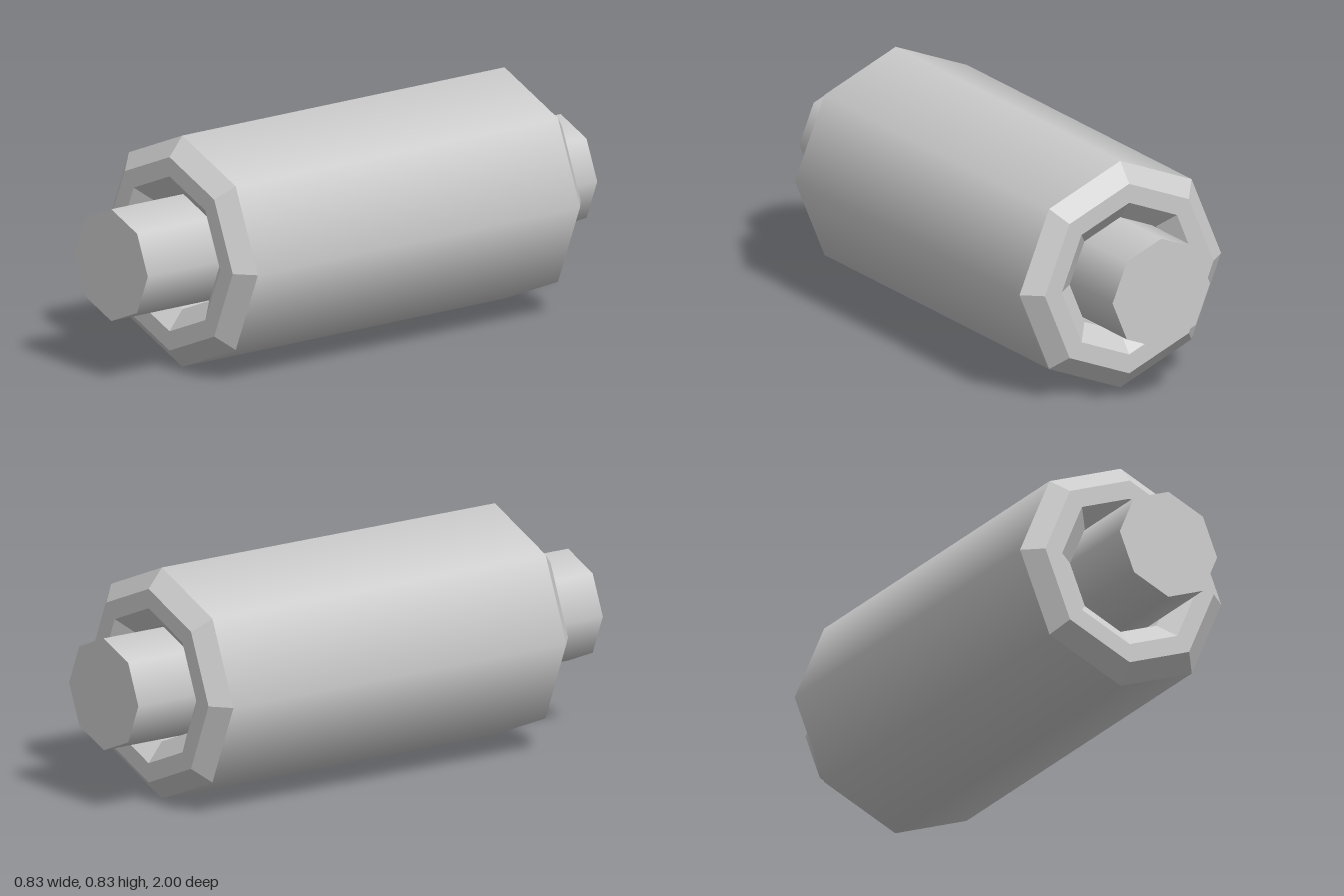
import * as THREE from 'three';
import { mergeGeometries } from 'three/addons/utils/BufferGeometryUtils.js';

const SIDES = 8;
const AXIS_Y = 0.4135;

// One eight-sided ring between two [radius, z] points, turned about the z axis
function band(a, b, smooth) {
  const lathe = new THREE.LatheGeometry([new THREE.Vector2(...a), new THREE.Vector2(...b)], SIDES);
  const geometry = lathe.rotateX(Math.PI / 2).toNonIndexed();
  if (!smooth) geometry.computeVertexNormals();
  return geometry;
}

export function createModel() {
  const group = new THREE.Group();
  group.name = 'roller';
  const material = new THREE.MeshStandardMaterial({ color: 0xcccccc });

  // Hollow sleeve: closed profile with chamfered outer and inner rims
  const outer = 0.4135, rimOuter = 0.346, rimInner = 0.277, bore = 0.208;
  const back = -0.803, front = 0.745, chamfer = 0.057;
  const profile = [
    [outer, back + chamfer], [outer, front - chamfer],
    [rimOuter, front], [rimInner, front],
    [bore, front - chamfer], [bore, back + chamfer],
    [rimInner, back], [rimOuter, back],
  ];
  const bands = profile.map((point, i) => {
    const next = profile[(i + 1) % profile.length];
    return band(point, next, point[0] === next[0]); // long walls are smooth
  });
  const sleeve = new THREE.Mesh(mergeGeometries(bands), material);
  sleeve.name = 'sleeve';
  sleeve.position.y = AXIS_Y;
  group.add(sleeve);

  // Solid shaft, slightly off centre in the bore
  const shaftGeometry = new THREE.CylinderGeometry(0.2, 0.2, 2, SIDES).rotateX(Math.PI / 2);
  const shaft = new THREE.Mesh(shaftGeometry, material);
  shaft.name = 'shaft';
  shaft.position.set(-0.005, AXIS_Y + 0.002, 0);
  group.add(shaft);

  return group;
}
